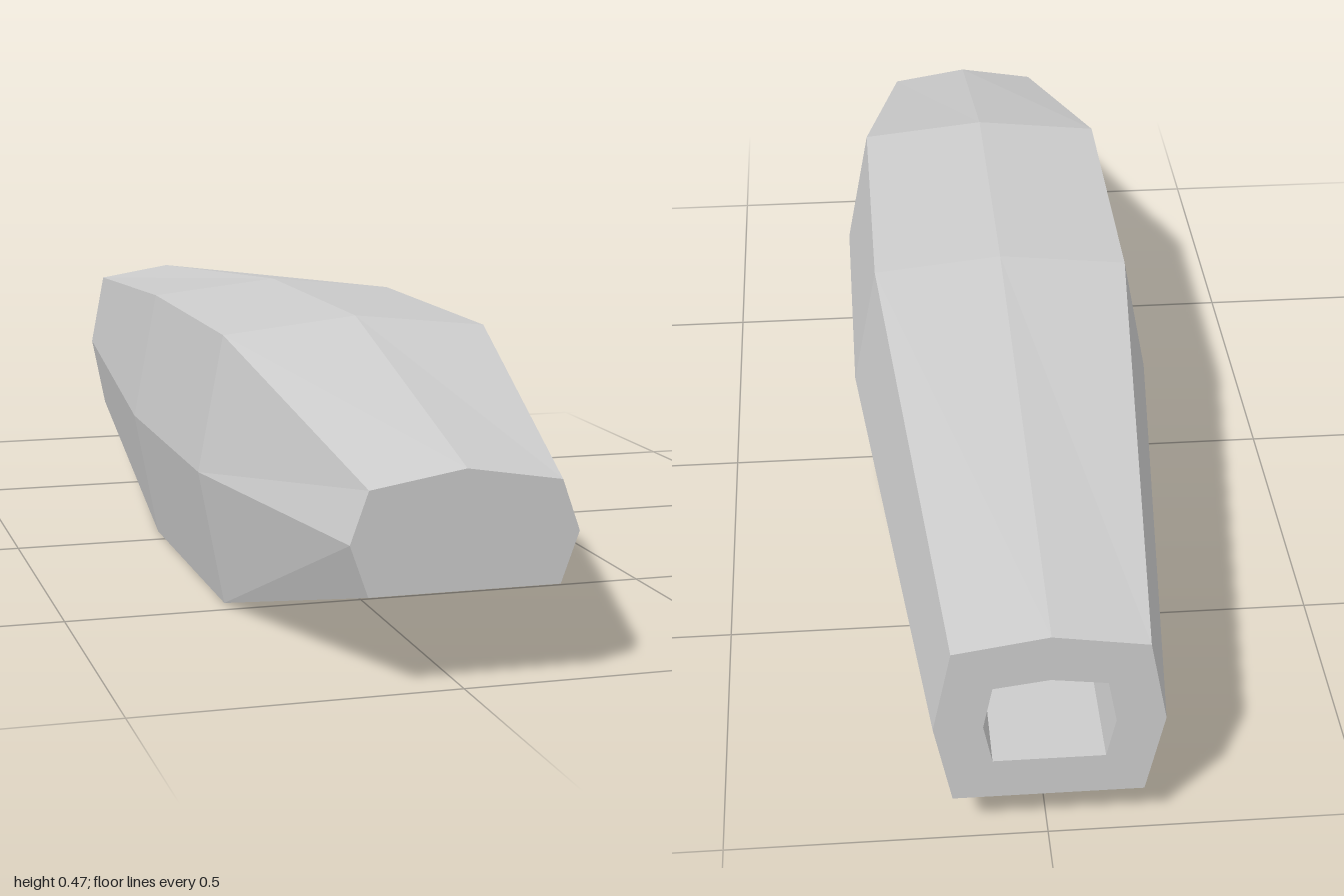
import * as THREE from 'three';

// Seven-sided section, counter-clockwise seen from the front
function ring(z, bottom, corner, side, top, peak, mid = 0.225) {
  return [
    [-corner, bottom], [corner, bottom], [side, mid], [corner, top],
    [0, peak], [-corner, top], [-side, mid],
  ].map(([x, y]) => [x, y, z]);
}

// Skin a chain of rings, optionally closing the first or last one
function loft(rings, capFirst, capLast) {
  const pos = [];
  const tri = (a, b, c) => pos.push(...a, ...b, ...c);
  for (let r = 0; r < rings.length - 1; r++) {
    const a = rings[r], b = rings[r + 1], n = a.length;
    for (let i = 0; i < n; i++) {
      const j = (i + 1) % n;
      tri(a[i], b[i], b[j]);
      tri(a[i], b[j], a[j]);
    }
  }
  const first = rings[0], last = rings[rings.length - 1];
  for (let i = 1; i < first.length - 1; i++) {
    if (capFirst) tri(first[0], first[i], first[i + 1]);
    if (capLast) tri(last[0], last[i + 1], last[i]);
  }
  const geo = new THREE.BufferGeometry();
  geo.setAttribute('position', new THREE.Float32BufferAttribute(pos, 3));
  geo.computeVertexNormals();
  return geo;
}

export function createModel() {
  const group = new THREE.Group();
  const material = new THREE.MeshStandardMaterial({ color: 0xcccccc, flatShading: true });
  const add = (name, geo) => {
    const mesh = new THREE.Mesh(geo, material);
    mesh.name = name;
    group.add(mesh);
  };

  const backOuter = ring(-1, 0.082, 0.147, 0.175, 0.37, 0.394);
  const backInner = ring(-1, 0.155, 0.086, 0.1, 0.3, 0.312);
  const recessEnd = ring(-0.81, 0.155, 0.086, 0.1, 0.3, 0.312);

  // Hull: closed blunt nose, straight middle, long taper to the tail
  add('hull', loft([
    ring(1, 0.147, 0.147, 0.175, 0.303, 0.327),
    ring(0.46, 0, 0.225, 0.268, 0.45, 0.474),
    ring(-0.06, 0, 0.225, 0.268, 0.45, 0.474),
    backOuter,
  ], true, false));

  // Flat rim around the opening in the tail
  add('tailRim', loft([backOuter, backInner], false, false));

  // Shallow recess sunk into the tail
  add('tailRecess', loft([backInner, recessEnd], false, true));

  return group;
}
